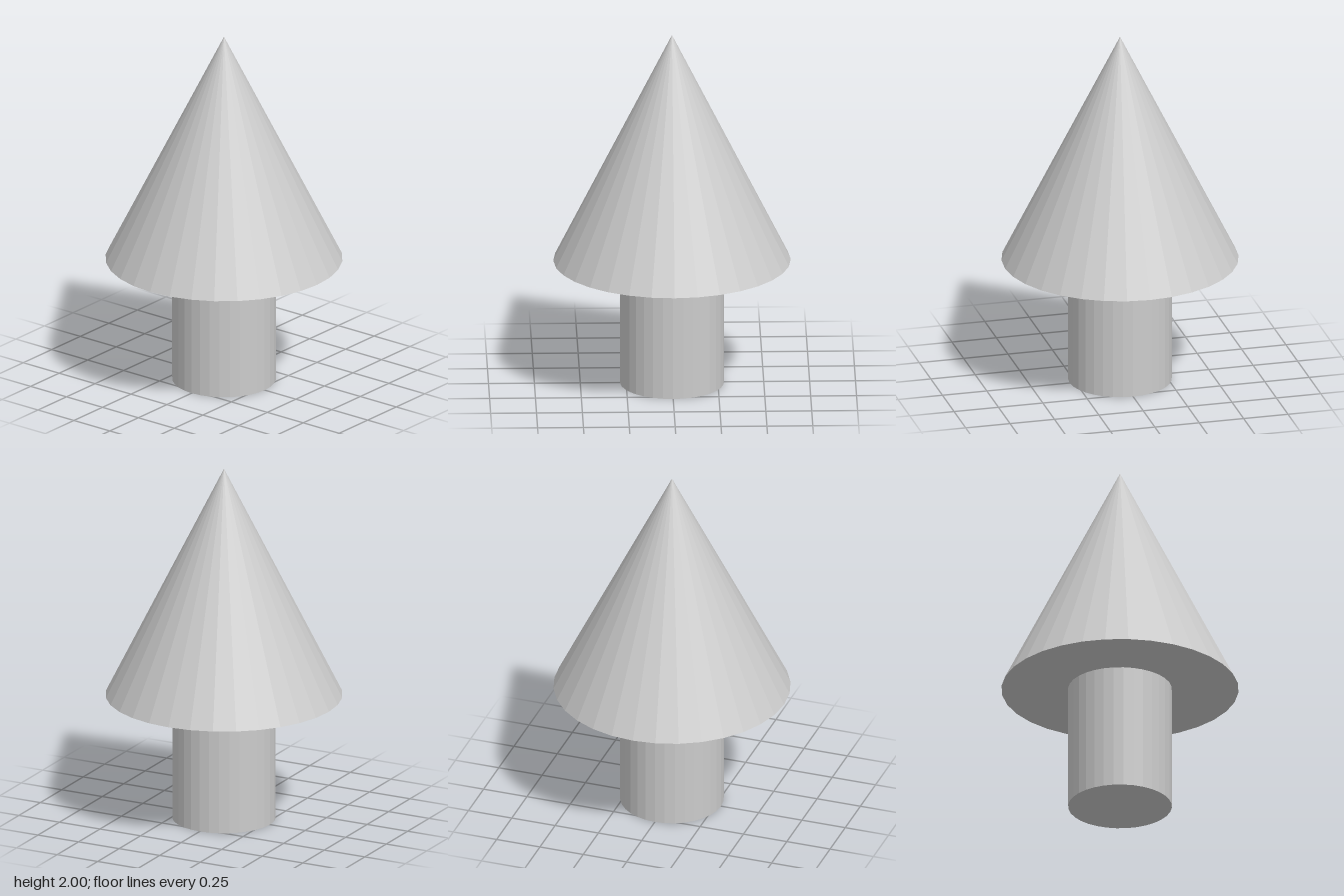
import * as THREE from 'three';

const SIDES = 32;
const TRUNK_HEIGHT = 0.705;
const TOTAL_HEIGHT = 2;

export function createModel() {
  const group = new THREE.Group();
  group.name = 'coneTree';
  const material = new THREE.MeshStandardMaterial({ color: 0xcccccc, flatShading: true });

  const addPart = (name, geometry, bottom, height) => {
    const mesh = new THREE.Mesh(geometry, material);
    mesh.name = name;
    mesh.position.y = bottom + height / 2;
    group.add(mesh);
  };

  // Straight round trunk standing on the ground
  addPart('trunk', new THREE.CylinderGeometry(0.283, 0.283, TRUNK_HEIGHT, SIDES), 0, TRUNK_HEIGHT);

  // Pointed crown with a flat underside
  const crownHeight = TOTAL_HEIGHT - TRUNK_HEIGHT;
  addPart('crown', new THREE.ConeGeometry(0.647, crownHeight, SIDES), TRUNK_HEIGHT, crownHeight);

  return group;
}
